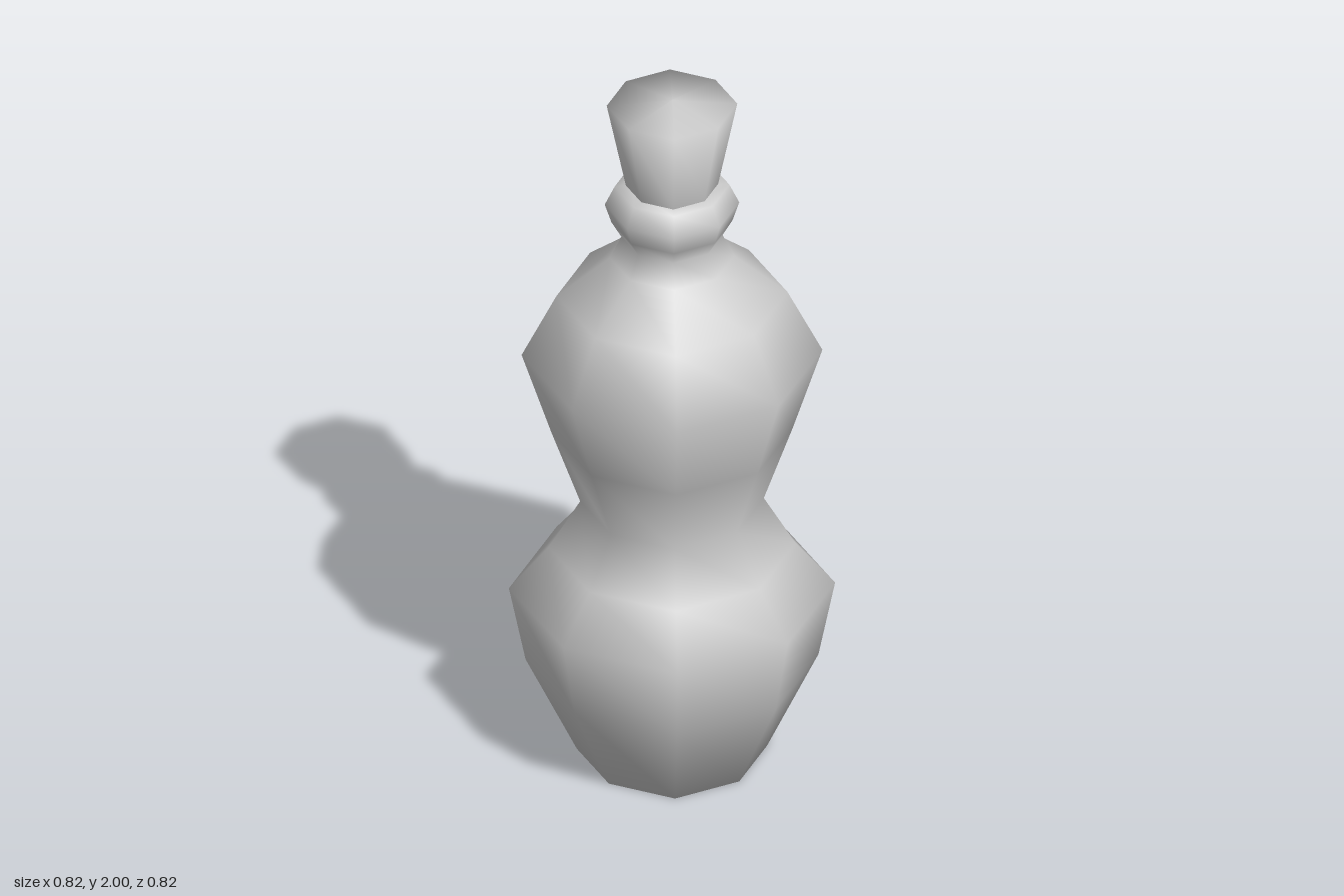
import * as THREE from 'three';

const SIDES = 8;
const DIAGONAL = 1.03; // the diagonal corners sit slightly further out

// Smooth eight-sided turned shape from [radius, height] pairs, bottom to top
function turned(name, profile) {
  const points = profile.map(([r, y]) => new THREE.Vector2(r, y));
  const geometry = new THREE.LatheGeometry(points, SIDES);
  const pos = geometry.attributes.position;
  for (let i = 0; i < pos.count; i++) {
    const column = Math.floor(i / points.length);
    const k = column % 2 ? DIAGONAL : 1;
    pos.setX(i, pos.getX(i) * k);
    pos.setZ(i, pos.getZ(i) * k);
  }
  const mesh = new THREE.Mesh(geometry, new THREE.MeshStandardMaterial({ color: 0xcccccc }));
  mesh.name = name;
  return mesh;
}

export function createModel() {
  const group = new THREE.Group();
  group.name = 'bottle';

  // Two-bulbed body with pinched waist, neck and rolled lip
  group.add(turned('bottleBody', [
    [0, 0], [0.24, 0], [0.37, 0.28], [0.412, 0.5], [0.312, 0.625],
    [0.232, 0.765], [0.305, 0.98], [0.38, 1.22], [0.292, 1.4],
    [0.157, 1.515], [0.128, 1.58], [0.153, 1.625], [0.17, 1.68],
    [0.145, 1.735], [0.1, 1.74],
  ]));

  // Flared cork with a slightly domed top
  group.add(turned('stopper', [
    [0, 1.7], [0.11, 1.7], [0.117, 1.74], [0.165, 1.985], [0, 2],
  ]));

  return group;
}
